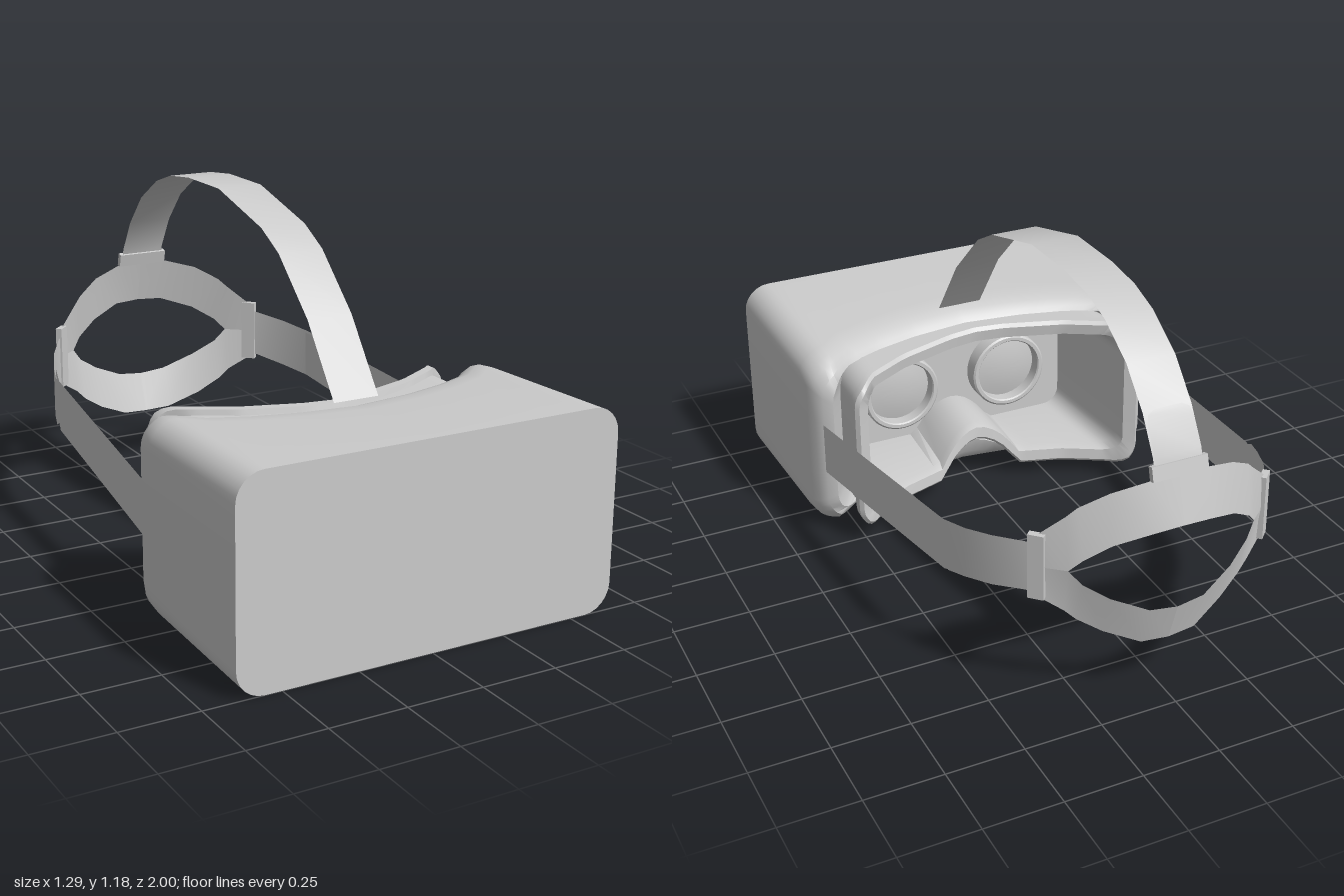
import * as THREE from 'three';
import { toCreasedNormals } from 'three/addons/utils/BufferGeometryUtils.js';

const grey = new THREE.MeshStandardMaterial({ color: 0xcccccc });
const thin = new THREE.MeshStandardMaterial({ color: 0xcccccc, side: THREE.DoubleSide });

// Piecewise-linear value at |x|
function lerpTable(table, x) {
  x = Math.abs(x);
  for (let i = 1; i < table.length; i++) {
    const [x0, v0] = table[i - 1], [x1, v1] = table[i];
    if (x <= x1) return v0 + (v1 - v0) * (x - x0) / (x1 - x0);
  }
  return table[table.length - 1][1];
}
// Curved back outlines of the housing and of the face cushion
const backZ = x => lerpTable([[0, 0.515], [0.2, 0.49], [0.35, 0.45], [0.47, 0.4], [0.56, 0.315], [0.7, 0.315]], x);
const faceZ = x => lerpTable([[0, 0.42], [0.1, 0.405], [0.3, 0.34], [0.44, 0.26], [0.5, 0.2], [0.6, 0.2]], x);

// Rounded rectangle loop, counter-clockwise from the front; nose lifts the middle of its bottom edge
function section({ w, y0, y1, r = 0.09, z, nose = 0 }) {
  const pts = [];
  const corners = [[w - r, y0 + r, -1], [w - r, y1 - r, 0], [-w + r, y1 - r, 1], [-w + r, y0 + r, 2]];
  corners.forEach(([cx, cy, q], i) => {
    for (let k = 0; k <= 6; k++) {
      const a = (q + k / 6) * Math.PI / 2;
      pts.push([cx + r * Math.cos(a), cy + r * Math.sin(a)]);
    }
    const [nx, ny, nq] = corners[(i + 1) % 4];
    const a = nq * Math.PI / 2, from = pts[pts.length - 1];
    const to = [nx + r * Math.cos(a), ny + r * Math.sin(a)];
    const n = i % 2 ? 28 : 4;
    for (let k = 1; k < n; k++) pts.push(from.map((v, c) => v + (to[c] - v) * k / n));
  });
  return pts.map(([x, y]) => {
    const lift = y < 0.3 ? nose * Math.max(0, 1 - (x / 0.15) ** 2) : 0;
    return [x, y + lift, typeof z === 'function' ? z(x) : z];
  });
}

// Skin a list of sections, optionally closing the first and last
function loft(specs, capStart, capEnd, crease) {
  const loops = specs.map(section), n = loops[0].length, pos = [], idx = [];
  loops.forEach(l => l.forEach(p => pos.push(...p)));
  for (let i = 0; i < loops.length - 1; i++) {
    for (let j = 0; j < n; j++) {
      const a = i * n + j, b = i * n + (j + 1) % n;
      idx.push(a, a + n, b, b, a + n, b + n);
    }
  }
  const cap = (s, loop, flip) => {
    const c = pos.length / 3;
    pos.push(0, (specs[loop].y0 + specs[loop].y1) / 2, s);
    for (let j = 0; j < n; j++) {
      const a = loop * n + j, b = loop * n + (j + 1) % n;
      idx.push(c, flip ? b : a, flip ? a : b);
    }
  };
  if (capStart) cap(specs[0].z, 0, false);
  if (capEnd) cap(specs[specs.length - 1].z, specs.length - 1, true);
  const g = new THREE.BufferGeometry();
  g.setAttribute('position', new THREE.Float32BufferAttribute(pos, 3));
  g.setIndex(idx);
  return toCreasedNormals(g, crease);
}

// Strip between two edge lines of equal length
function ribbon(edgeA, edgeB) {
  const pos = [], idx = [];
  edgeA.forEach((p, i) => pos.push(...p, ...edgeB[i]));
  for (let i = 0; i < edgeA.length - 1; i++) {
    const a = i * 2;
    idx.push(a, a + 2, a + 1, a + 1, a + 2, a + 3);
  }
  const g = new THREE.BufferGeometry();
  g.setAttribute('position', new THREE.Float32BufferAttribute(pos, 3));
  g.setIndex(idx);
  return toCreasedNormals(g, 0.7);
}

export function createModel() {
  const model = new THREE.Group();
  const add = (name, geometry, material = grey) => {
    const m = new THREE.Mesh(geometry, material);
    m.name = name;
    model.add(m);
    return m;
  };

  // Housing: flat front, softly rounded curved back
  add('housing', loft([
    { w: 0.645, y0: 0, y1: 0.66, z: 1 },
    { w: 0.638, y0: 0.012, y1: 0.648, z: x => backZ(x) + 0.14 },
    { w: 0.634, y0: 0.018, y1: 0.642, z: x => backZ(x) + 0.08 },
    { w: 0.622, y0: 0.03, y1: 0.63, z: x => backZ(x) + 0.045 },
    { w: 0.6, y0: 0.048, y1: 0.612, z: x => backZ(x) + 0.015, nose: 0.02 },
    { w: 0.57, y0: 0.065, y1: 0.595, z: backZ, nose: 0.06 },
    { w: 0.51, y0: 0.08, y1: 0.585, z: x => backZ(x) + 0.04, nose: 0.11 },
  ], true, false, 0.7));

  // Face cushion with its rim, inner walls and lens plate
  add('faceCushion', loft([
    { w: 0.515, y0: 0.07, y1: 0.597, z: x => backZ(x) + 0.05, nose: 0.11 },
    { w: 0.515, y0: 0.07, y1: 0.597, z: x => faceZ(x) + 0.05, nose: 0.11 },
    { w: 0.532, y0: 0.052, y1: 0.615, z: x => faceZ(x) + 0.045, nose: 0.12 },
    { w: 0.532, y0: 0.052, y1: 0.615, z: x => faceZ(x) + 0.012, nose: 0.12 },
    { w: 0.52, y0: 0.064, y1: 0.603, r: 0.08, z: faceZ, nose: 0.12 },
    { w: 0.482, y0: 0.102, y1: 0.565, r: 0.06, z: x => faceZ(x) + 0.005, nose: 0.12 },
    { w: 0.47, y0: 0.112, y1: 0.555, r: 0.06, z: x => faceZ(x) + 0.035, nose: 0.12 },
    { w: 0.44, y0: 0.115, y1: 0.55, r: 0.06, z: 0.66, nose: 0.12 },
  ], false, true, 0.6));

  // Lens barrels and slightly domed lenses
  const barrel = [[0.14, 0], [0.14, 0.055], [0.134, 0.06], [0.122, 0.06], [0.118, 0.055], [0.118, 0.012],
    [0.08, 0.02], [0.04, 0.025], [0, 0.026]].map(([r, h]) => new THREE.Vector2(r, h));
  const lensGeometry = toCreasedNormals(new THREE.LatheGeometry(barrel, 40), 0.6);

  // Side strap, adjusting overlap with rounded end: [x, z, low y, high y]
  const strap = [[0.605, 0.365, 0.24, 0.42], [0.527, -0.5, 0.33, 0.505], [0.497, -0.6, 0.36, 0.52]];
  const overlap = [[0.531, -0.49, 0.39, 0.46], [0.531, -0.5, 0.358, 0.495], [0.527, -0.53, 0.342, 0.512],
    [0.505, -0.6, 0.355, 0.525], [0.462, -0.7, 0.375, 0.545], [0.402, -0.8, 0.4, 0.565], [0.37, -0.835, 0.4, 0.57]];
  // Rear ring edges: [x, y, z]
  const upperOuter = [[0.375, 0.6, -0.83], [0.31, 0.66, -0.87], [0.28, 0.69, -0.885], [0.2, 0.737, -0.925], [0.09, 0.768, -0.96], [0, 0.77, -0.962]];
  const upperInner = [[0.375, 0.49, -0.835], [0.31, 0.49, -0.89], [0.275, 0.53, -0.915], [0.2, 0.578, -0.95], [0.09, 0.615, -0.995], [0, 0.62, -1]];
  const lowerInner = [[0.375, 0.49, -0.835], [0.31, 0.49, -0.89], [0.275, 0.445, -0.91], [0.2, 0.395, -0.945], [0.09, 0.345, -0.98], [0, 0.335, -0.986]];
  const lowerOuter = [[0.375, 0.385, -0.83], [0.31, 0.34, -0.865], [0.275, 0.305, -0.875], [0.2, 0.255, -0.9], [0.09, 0.205, -0.935], [0, 0.2, -0.942]];

  for (const [side, s] of [['left', 1], ['right', -1]]) {
    const lens = add(side + 'Lens', lensGeometry);
    lens.position.set(s * 0.21, 0.32, 0.66);
    lens.rotation.x = -Math.PI / 2;

    const band = list => ribbon(list.map(([x, z, lo]) => [s * x, lo, z]), list.map(([x, z, , hi]) => [s * x, hi, z]));
    const mirror = list => list.map(([x, y, z]) => [s * x, y, z]);
    add(side + 'SideStrap', band(strap), thin);
    add(side + 'StrapOverlap', band(overlap), thin);
    add(side + 'UpperRearBand', ribbon(mirror(upperInner), mirror(upperOuter)), thin);
    add(side + 'LowerRearBand', ribbon(mirror(lowerOuter), mirror(lowerInner)), thin);

    const clip = add(side + 'StrapClip', new THREE.BoxGeometry(0.05, 0.215, 0.022));
    clip.position.set(s * 0.38, 0.492, -0.828);
    clip.rotation.y = -s * Math.PI / 4;
  }

  // Top strap and its rounded overlap: [z, y, half width]
  const across = list => ribbon(list.map(([z, y, w]) => [-w, y, z]), list.map(([z, y, w]) => [w, y, z]));
  const arch = [[0.56, 0.65], [0.4, 0.87], [0.22, 1.04], [0.11, 1.1], [-0.18, 1.178], [-0.4, 1.18], [-0.54, 1.165],
    [-0.65, 1.13], [-0.78, 1.05], [-0.88, 0.94], [-0.945, 0.83], [-0.96, 0.78]];
  add('topStrap', across(arch.map(([z, y]) => [z, y, 0.078])), thin);
  add('topStrapOverlap', across([[-0.883, 0.947, 0.045], [-0.89, 0.937, 0.066], [-0.902, 0.915, 0.074],
    [-0.951, 0.83, 0.074], [-0.964, 0.78, 0.074]]), thin);
  const topClip = add('topStrapClip', new THREE.BoxGeometry(0.18, 0.045, 0.02));
  topClip.position.set(0, 0.788, -0.958);
  topClip.rotation.x = 0.25;

  return model;
}
